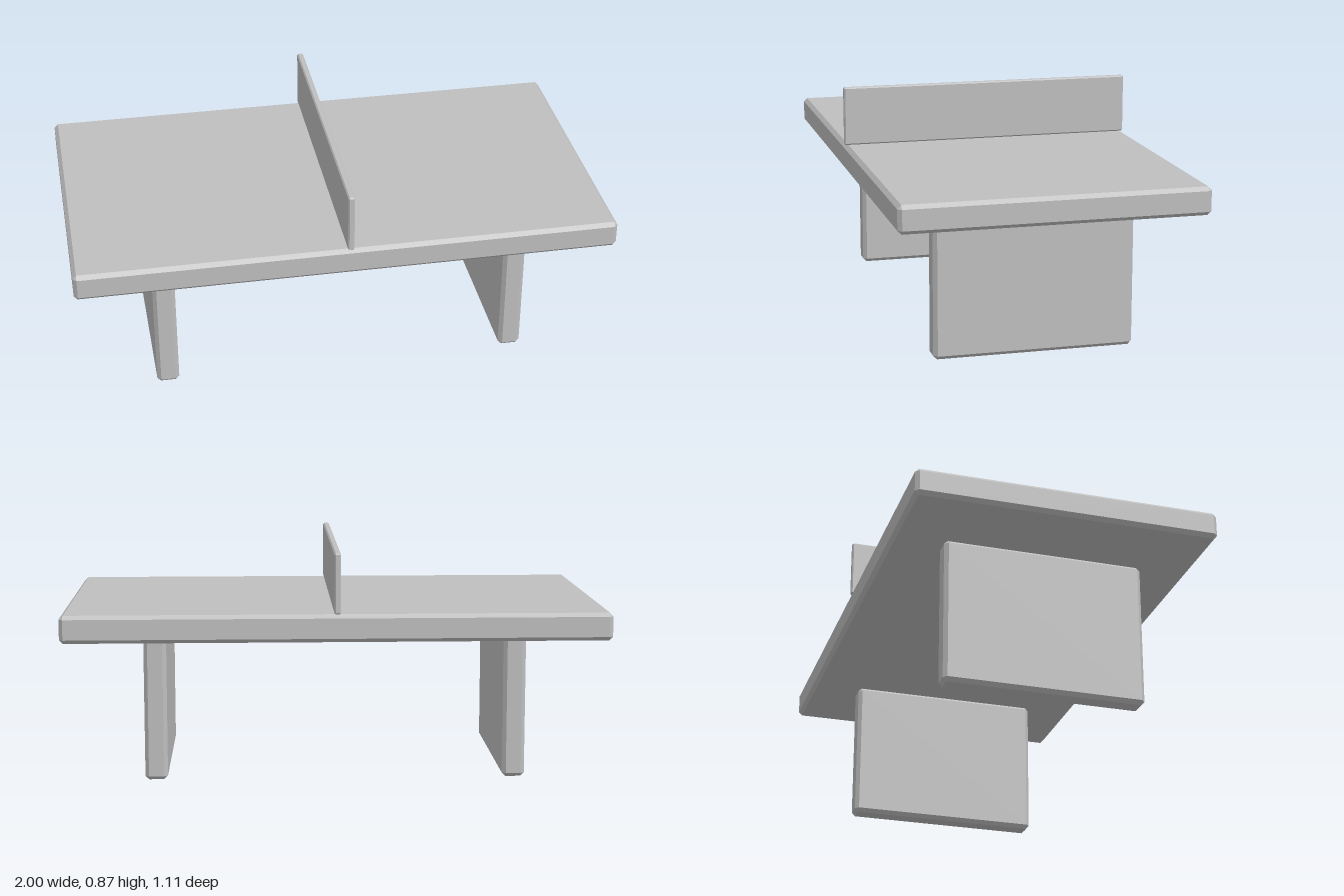
import * as THREE from 'three';
import { ConvexGeometry } from 'three/addons/geometries/ConvexGeometry.js';

// Box with flat bevels on every edge and corner
function bevelledBox(w, h, d, bevel) {
  const points = [];
  const half = [w / 2, h / 2, d / 2];
  for (const sx of [-1, 1]) for (const sy of [-1, 1]) for (const sz of [-1, 1]) {
    for (let axis = 0; axis < 3; axis++) {
      const p = half.map((v, i) => (i === axis ? v : v - bevel));
      points.push(new THREE.Vector3(sx * p[0], sy * p[1], sz * p[2]));
    }
  }
  return new ConvexGeometry(points);
}

export function createModel() {
  const group = new THREE.Group();
  group.name = 'tableTennisTable';
  const concrete = new THREE.MeshStandardMaterial({ color: 0xbfbfbf });
  concrete.name = 'concrete grey';

  const add = (name, [w, h, d], bevel, x, bottom) => {
    const mesh = new THREE.Mesh(bevelledBox(w, h, d, bevel), concrete);
    mesh.name = name;
    mesh.position.set(x, bottom + h / 2, 0);
    group.add(mesh);
  };

  // Playing slab
  add('tableTop', [2, 0.102, 1.108], 0.014, 0, 0.545);

  // Upright slab legs
  for (const side of [-1, 1]) {
    add(side > 0 ? 'leftLeg' : 'rightLeg', [0.084, 0.548, 0.74], 0.014, side * 0.668, 0);
  }

  // Solid net plate
  add('net', [0.024, 0.221, 1.108], 0.005, 0, 0.647);

  return group;
}
